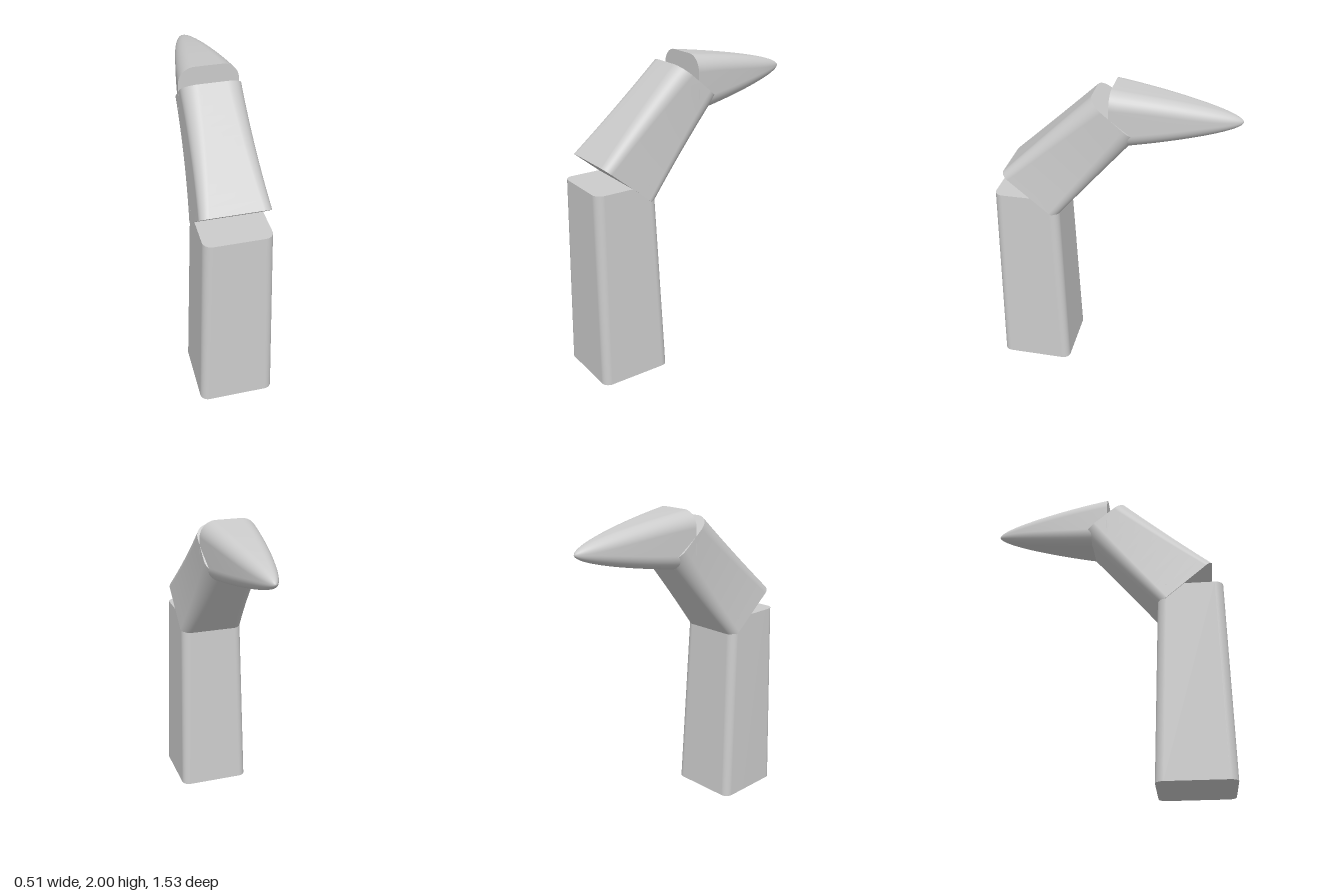
import * as THREE from 'three';

const material = new THREE.MeshStandardMaterial({ color: 0xcccccc });
const CORNER_STEPS = 10;

// Rounded rectangle outline, counter-clockwise, with half sizes w, d and corner radius r
function outline(w, d, r) {
  const points = [];
  const corners = [[1, 1], [-1, 1], [-1, -1], [1, -1]];
  corners.forEach(([sx, sy], k) => {
    for (let i = 0; i <= CORNER_STEPS; i++) {
      const a = (k + i / CORNER_STEPS) * Math.PI / 2;
      points.push([sx * (w - r) + r * Math.cos(a), sy * (d - r) + r * Math.sin(a)]);
    }
  });
  return points;
}

// Skin through sections { y, z, tilt, w, d, r }; tilt leans the axis from +y towards -z.
// End caps have their own vertices so that their rims stay sharp.
function loft(name, sections) {
  const positions = [], index = [];
  const rings = sections.map(({ y, z, tilt, w, d, r }) =>
    outline(w, d, r).map(([u, v]) => [u, y - v * Math.sin(tilt), z - v * Math.cos(tilt)]));
  const n = rings[0].length;
  rings.forEach(ring => ring.forEach(p => positions.push(...p)));
  for (let i = 0; i < rings.length - 1; i++) {
    for (let j = 0; j < n; j++) {
      const a = i * n + j, b = i * n + (j + 1) % n;
      index.push(a, b, b + n, a, b + n, a + n);
    }
  }
  [0, rings.length - 1].forEach(k => {
    const first = positions.length / 3;
    positions.push(0, sections[k].y, sections[k].z);
    rings[k].forEach(p => positions.push(...p));
    for (let j = 0; j < n; j++) {
      const a = first + 1 + j, b = first + 1 + (j + 1) % n;
      index.push(first, ...(k === 0 ? [b, a] : [a, b]));
    }
  });
  const geometry = new THREE.BufferGeometry();
  geometry.setAttribute('position', new THREE.Float32BufferAttribute(positions, 3));
  geometry.setIndex(index);
  geometry.computeVertexNormals();
  const mesh = new THREE.Mesh(geometry, material);
  mesh.name = name;
  return mesh;
}

export function createModel() {
  const model = new THREE.Group();
  model.name = 'jointedFinger';

  // All segments share a slight turn about the upright base
  const finger = new THREE.Group();
  finger.name = 'finger';
  finger.position.z = 0.51;
  finger.rotation.y = 0.113;
  model.add(finger);

  // Upright tapered base
  finger.add(loft('baseSegment', [
    { y: 0, z: 0, tilt: 0, w: 0.236, d: 0.236, r: 0.05 },
    { y: 1.272, z: 0.018, tilt: 0, w: 0.206, d: 0.206, r: 0.055 },
  ]));

  // Leaning middle segment, slightly waisted, with rounder corners at its far end
  const middle = [];
  for (let i = 0; i <= 12; i++) {
    const t = i / 12, mix = THREE.MathUtils.lerp;
    middle.push({
      y: mix(1.284, 1.833, t), z: mix(-0.006, -0.535, t), tilt: 0.695,
      w: mix(0.212, 0.182, t) - 0.04 * t * (1 - t),
      d: mix(0.22, 0.183, t), r: mix(0.055, 0.1, t),
    });
  }
  finger.add(loft('middleSegment', middle));

  // Tip narrowing to a rounded point
  const tip = [];
  for (let i = 0; i <= 32; i++) {
    const t = 1 - (1 - i / 32) ** 2;
    const scale = Math.max((1 - t) ** 0.57, 0.002);
    const size = 0.182 * scale;
    tip.push({
      y: 1.818 + 0.008 * t, z: -0.513 - 0.77 * t, tilt: Math.PI / 2,
      w: size, d: size, r: size * (0.55 + 0.42 * t * t),
    });
  }
  finger.add(loft('tipSegment', tip));

  return model;
}
